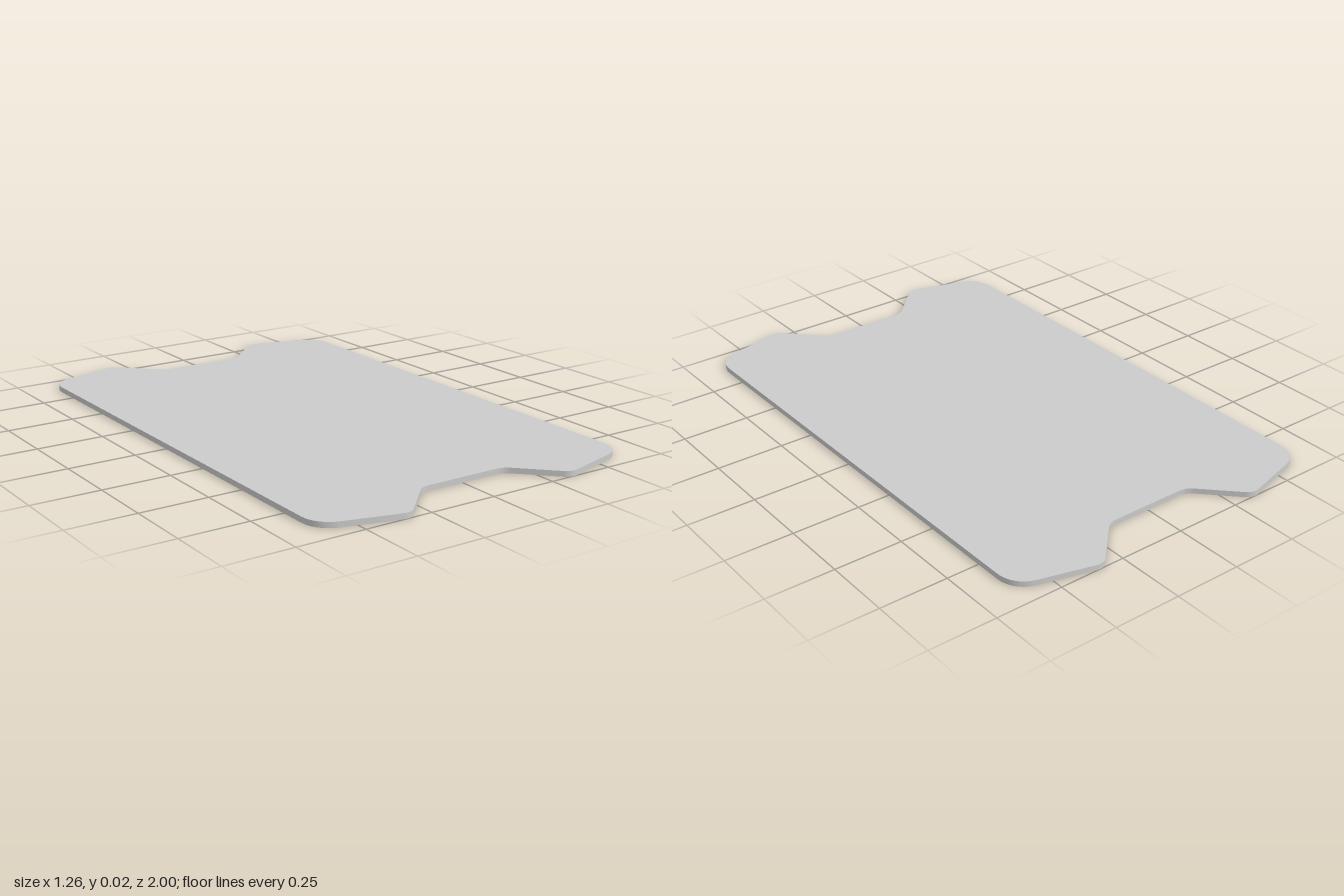
import * as THREE from 'three';
import { toCreasedNormals } from 'three/addons/utils/BufferGeometryUtils.js';

const THICKNESS = 0.02;

// Closed shape from corners [x, y, radius], each rounded by a true arc
function roundedShape(corners, steps = 10) {
  const points = [];
  const n = corners.length;
  corners.forEach(([x, y, radius], i) => {
    const corner = new THREE.Vector2(x, y);
    const toward = ([px, py]) => new THREE.Vector2(px, py).sub(corner).normalize();
    const a = toward(corners[(i + n - 1) % n]);
    const b = toward(corners[(i + 1) % n]);
    const half = Math.acos(a.dot(b)) / 2;
    const center = a.clone().add(b).normalize().multiplyScalar(radius / Math.sin(half)).add(corner);
    const start = a.clone().multiplyScalar(radius / Math.tan(half)).add(corner).sub(center);
    const sweep = Math.sign(b.cross(a)) * (Math.PI - 2 * half);
    for (let s = 0; s <= steps; s++) {
      points.push(start.clone().rotateAround(new THREE.Vector2(), (sweep * s) / steps).add(center));
    }
  });
  return new THREE.Shape(points);
}

export function createModel() {
  const group = new THREE.Group();
  group.name = 'notchedPlate';

  // One quarter of the outline: outer corner, peak, notch floor corner
  const quarter = [[0.63, 0.925, 0.1], [0.33, 1.006, 0.05], [0.17, 0.845, 0.07]];
  const mirror = (list, sx, sy) => list.map(([x, y, r]) => [x * sx, y * sy, r]).reverse();
  const end = [...quarter, ...mirror(quarter, -1, 1)];
  const outline = roundedShape([...end, ...mirror(end, 1, -1)]);

  // Flat plate lying on the ground
  const geometry = new THREE.ExtrudeGeometry(outline, { depth: THICKNESS, bevelEnabled: false });
  geometry.rotateX(-Math.PI / 2);
  const plate = new THREE.Mesh(
    toCreasedNormals(geometry, Math.PI / 6),
    new THREE.MeshStandardMaterial({ color: 0xcccccc })
  );
  plate.name = 'plate';
  group.add(plate);
  return group;
}
